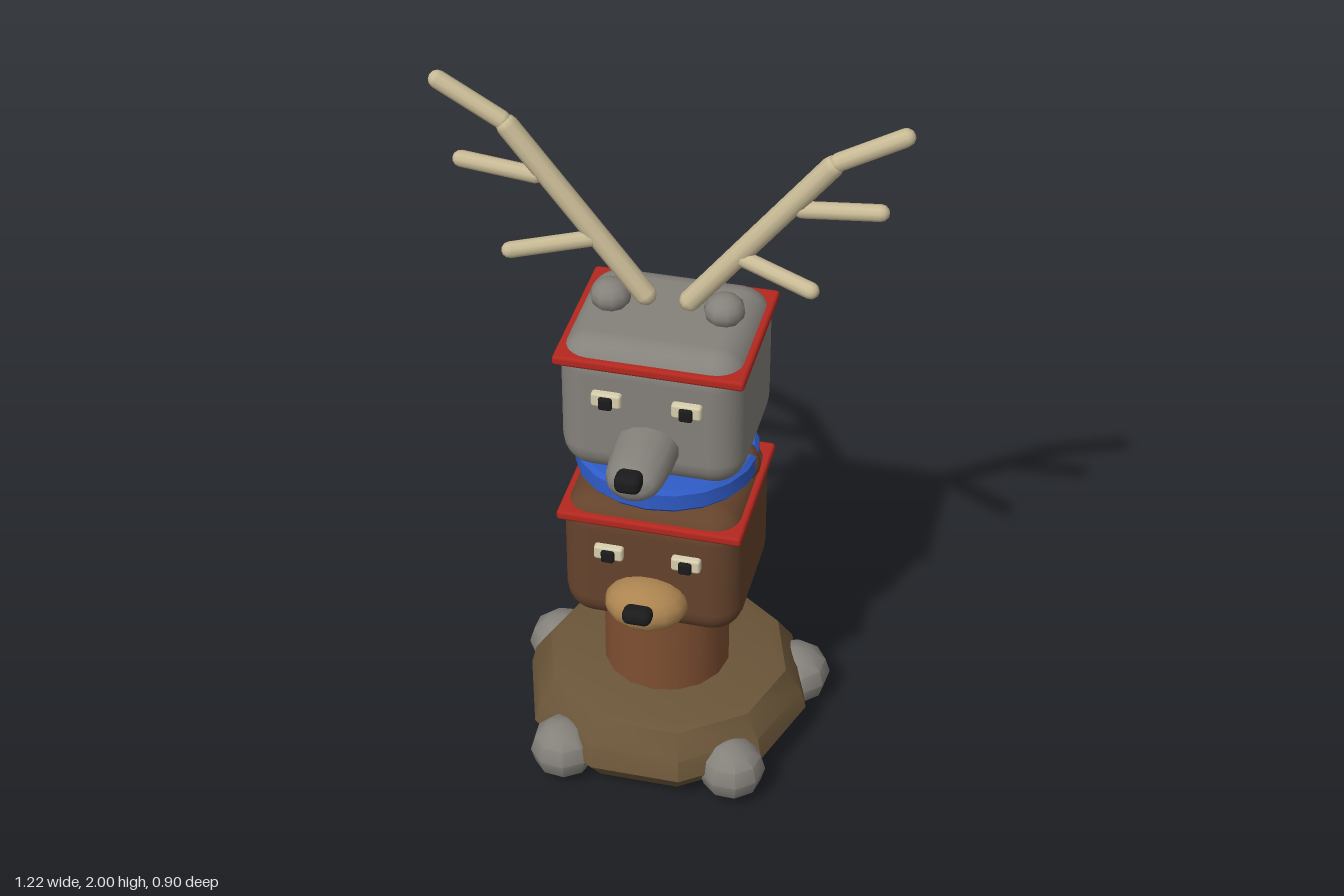
import * as THREE from 'three';
import { toCreasedNormals } from 'three/addons/utils/BufferGeometryUtils.js';
import { RoundedBoxGeometry } from 'three/addons/geometries/RoundedBoxGeometry.js';

const mat = (color) => new THREE.MeshStandardMaterial({ color });
const CZ = 0.013; // the column sits slightly forward of centre

export function createModel() {
  const root = new THREE.Group();
  const earth = mat(0x6b5639), stone = mat(0x85817b), wood = mat(0x7f4f32), bark = mat(0x65432c);
  const red = mat(0xb5281f), blue = mat(0x2f5cc8), tan = mat(0xac8450), bone = mat(0xc9bb96);
  const black = mat(0x1b1b1b), cream = mat(0xd8cfae);

  const add = (parent, name, geometry, material, x = 0, y = 0, z = 0) => {
    const mesh = new THREE.Mesh(geometry, material);
    mesh.name = name;
    mesh.position.set(x, y, z);
    parent.add(mesh);
    return mesh;
  };

  // Ten-sided mound with a sloping shoulder
  const profile = [[0, 0.035], [0.35, 0.035], [0.4, 0.1], [0.385, 0.16], [0.34, 0.225], [0.31, 0.235], [0, 0.235]]
    .map(([r, y]) => new THREE.Vector2(r, y));
  const mound = new THREE.LatheGeometry(profile, 10, Math.PI / 2);
  add(root, 'mound', toCreasedNormals(mound, 0.6), earth, 0, 0, CZ);

  // Five stones around the mound: x, z, size
  const stones = [[0, -0.352, 0.1], [0.34, -0.135, 0.098], [0.25, 0.29, 0.092], [-0.22, 0.32, 0.092], [-0.34, -0.11, 0.098]];
  stones.forEach(([x, z, r], i) => {
    const rock = new THREE.SphereGeometry(r, 9, 6);
    const mesh = add(root, 'stone', toCreasedNormals(rock, 0.7), stone, x, 0.093, z);
    mesh.scale.y = 0.09 / r;
    mesh.rotation.y = i * 1.3;
  });

  // Round post under the heads
  add(root, 'post', new THREE.CylinderGeometry(0.175, 0.175, 0.33, 16), wood, 0, 0.385, CZ);

  // Head block with red trim and eyes; bottomY is its underside
  const makeHead = (name, bottomY, material) => {
    const head = new THREE.Group();
    head.name = name;
    head.position.set(0, bottomY, CZ);
    root.add(head);
    add(head, 'headBlock', new RoundedBoxGeometry(0.49, 0.405, 0.43, 3, 0.085), material, 0, 0.2025, 0);
    add(head, 'trim', new RoundedBoxGeometry(0.5, 0.028, 0.435, 1, 0.009), red, 0, 0.352, 0);
    for (const s of [-1, 1]) {
      add(head, 'eye', new RoundedBoxGeometry(0.08, 0.042, 0.04, 1, 0.008), cream, s * 0.105, 0.26, 0.214);
      add(head, 'pupil', new RoundedBoxGeometry(0.036, 0.036, 0.02, 1, 0.006), black, s * 0.105, 0.256, 0.234);
    }
    return head;
  };
  const bear = makeHead('lowerHead', 0.48, bark);
  const wolf = makeHead('upperHead', 0.98, stone);

  // Short broad muzzle
  const snout = add(bear, 'muzzle', new THREE.SphereGeometry(1, 14, 10), tan, 0, 0.12, 0.235);
  snout.scale.set(0.113, 0.07, 0.09);
  const bearNose = add(bear, 'nose', new RoundedBoxGeometry(0.08, 0.046, 0.055, 2, 0.02), black, 0, 0.152, 0.33);
  bearNose.rotation.x = -0.1;

  // Long tapering muzzle
  const longProfile = [[0.085, 0], [0.082, 0.1], [0.074, 0.17], [0.06, 0.2], [0.035, 0.213], [0, 0.215]]
    .map(([r, y]) => new THREE.Vector2(r, y));
  const long = new THREE.LatheGeometry(longProfile, 14);
  long.rotateX(Math.PI / 2);
  add(wolf, 'muzzle', toCreasedNormals(long, 0.8), stone, 0, 0.122, 0.185).scale.y = 0.75;
  add(wolf, 'nose', new RoundedBoxGeometry(0.07, 0.052, 0.06, 2, 0.02), black, 0, 0.154, 0.405);

  // Ears
  for (const s of [-1, 1]) {
    add(wolf, 'ear', new THREE.SphereGeometry(0.054, 10, 8), stone, s * 0.15, 0.43, 0).scale.y = 0.82;
  }

  // Flat collar ring between the heads, held by a loop on each side
  const ringProfile = [[0.165, 0.905], [0.235, 0.905], [0.246, 0.917], [0.246, 0.963], [0.235, 0.975], [0.165, 0.975], [0.165, 0.905]]
    .map(([r, y]) => new THREE.Vector2(r, y));
  const ring = new THREE.LatheGeometry(ringProfile, 20);
  add(root, 'collar', toCreasedNormals(ring, 0.6), blue, 0, 0, CZ).scale.z = 0.96;
  for (const s of [-1, 1]) {
    const loop = add(root, 'collarLoop', new THREE.TorusGeometry(0.045, 0.024, 8, 16), bark, s * 0.186, 0.935, CZ);
    loop.scale.y = 1;
  }

  // Antlers: each limb is a round-ended rod between two points
  const rod = (parent, name, a, b, r) => {
    const p = new THREE.Vector3(...a), q = new THREE.Vector3(...b);
    const dir = q.clone().sub(p);
    const mesh = add(parent, name, new THREE.CapsuleGeometry(r, dir.length() - r, 3, 10), bone);
    mesh.position.copy(p).add(q).multiplyScalar(0.5);
    mesh.quaternion.setFromUnitVectors(new THREE.Vector3(0, 1, 0), dir.normalize());
  };
  for (const s of [-1, 1]) {
    const antler = new THREE.Group();
    antler.name = s > 0 ? 'leftAntler' : 'rightAntler';
    antler.position.z = CZ - 0.005;
    root.add(antler);
    rod(antler, 'beam', [s * 0.05, 1.41, 0], [s * 0.42, 1.88, 0], 0.029);
    rod(antler, 'tip', [s * 0.415, 1.878, 0], [s * 0.598, 1.982, 0], 0.024);
    rod(antler, 'upperTine', [s * 0.33, 1.735, 0], [s * 0.548, 1.757, 0], 0.022);
    rod(antler, 'lowerTine', [s * 0.19, 1.575, 0.005], [s * 0.397, 1.565, 0.1], 0.022);
  }
  return root;
}
